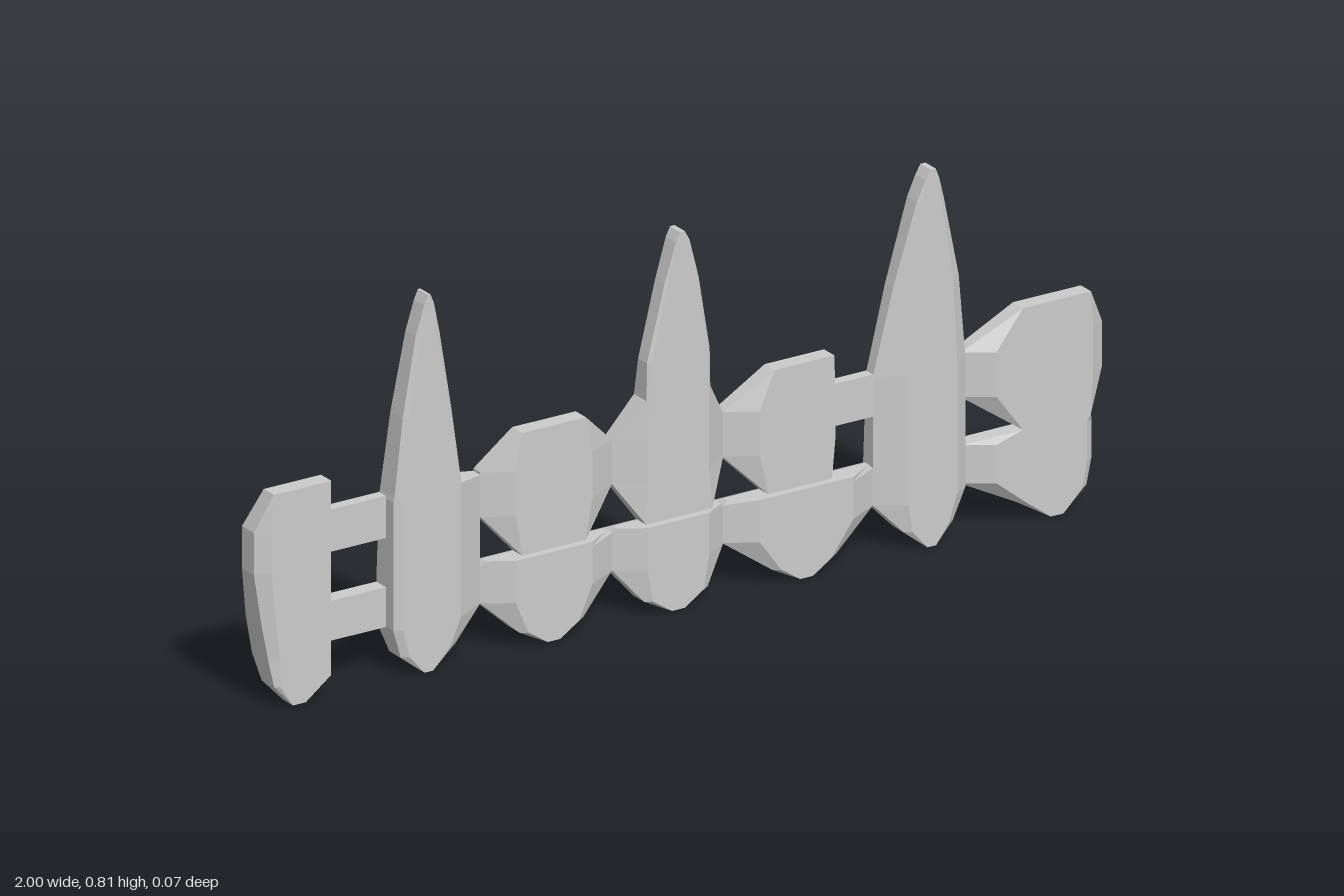
import * as THREE from 'three';

const FRONT = 0.037, LOW = -0.035, HIGH = -0.025;
const material = new THREE.MeshStandardMaterial({ color: 0xcccccc, flatShading: true });

// Lofts a plank from rows [y, left, leftCrease, rightCrease, right, backZ].
// The front is flat between the creases and bevels back towards the sides.
function plank(name, rows) {
  const edgeZ = (w) => FRONT * (1 - Math.min(1, w / 0.06));
  const rings = rows.map(([y, l, cl, cr, r, back]) => [
    [l, y, edgeZ(cl - l)], [cl, y, FRONT], [cr, y, FRONT],
    [r, y, edgeZ(r - cr)], [r, y, back], [l, y, back],
  ]);
  const pos = [];
  const tri = (a, b, c) => pos.push(...a, ...b, ...c);
  for (let k = 0; k < rings.length - 1; k++) {
    const a = rings[k], b = rings[k + 1];
    for (let i = 0; i < 6; i++) {
      const j = (i + 1) % 6;
      tri(a[i], a[j], b[j]);
      tri(a[i], b[j], b[i]);
    }
  }
  const bottom = rings[0], top = rings[rings.length - 1];
  for (let i = 1; i < 5; i++) {
    tri(bottom[0], bottom[i + 1], bottom[i]);
    tri(top[0], top[i], top[i + 1]);
  }
  const geo = new THREE.BufferGeometry();
  geo.setAttribute('position', new THREE.Float32BufferAttribute(pos, 3));
  geo.computeVertexNormals();
  const mesh = new THREE.Mesh(geo, material);
  mesh.name = name;
  return mesh;
}

// Pointed lower end of a broken picket, with its strip of rail
const stub = (name, l, cl, tip, cr, r) => plank(name, [
  [0, tip - 0.015, tip - 0.015, tip + 0.015, tip + 0.015, 0],
  [0.03, tip - 0.075, tip - 0.06, tip + 0.06, tip + 0.075, -0.01],
  [0.1, l, cl, cr, r, LOW],
  [0.18, l, cl, cr, r, LOW],
  [0.19, l + 0.01, cl, cr, r - 0.01, -0.01],
]);

// Straight rail section showing between two pickets
function rail(name, x0, x1, y0, y1, back) {
  const mesh = new THREE.Mesh(new THREE.BoxGeometry(x1 - x0, y1 - y0, -back), material);
  mesh.position.set((x0 + x1) / 2, (y0 + y1) / 2, back / 2);
  mesh.name = name;
  return mesh;
}

export function createModel() {
  const group = new THREE.Group();
  group.name = 'brokenFence';

  group.add(
    // Short end picket
    plank('rightEndPicket', [
      [0, -0.92, -0.92, -0.89, -0.89, 0],
      [0.045, -0.96, -0.95, -0.83, -0.83, -0.015],
      [0.1, -0.97, -0.95, -0.83, -0.83, LOW],
      [0.185, -0.985, -0.96, -0.83, -0.83, LOW],
      [0.29, -1, -0.97, -0.83, -0.83, HIGH],
      [0.38, -1, -0.97, -0.83, -0.83, HIGH],
      [0.46, -0.965, -0.965, -0.83, -0.83, 0],
    ]),
    // Tall picket with a block on its inner side
    plank('rightTallPicket', [
      [0, -0.61, -0.61, -0.59, -0.59, 0],
      [0.04, -0.66, -0.645, -0.55, -0.53, -0.014],
      [0.1, -0.677, -0.66, -0.525, -0.455, LOW],
      [0.185, -0.677, -0.66, -0.525, -0.455, LOW],
      [0.375, -0.677, -0.66, -0.525, -0.455, HIGH],
      [0.385, -0.675, -0.66, -0.525, -0.522, HIGH],
      [0.55, -0.657, -0.645, -0.55, -0.545, -0.015],
      [0.72, -0.628, -0.62, -0.58, -0.572, -0.005],
      [0.785, -0.611, -0.611, -0.588, -0.588, 0],
      [0.805, -0.602, -0.602, -0.596, -0.596, 0],
    ]),
    // Upper half of the right middle picket
    plank('rightMiddlePicket', [
      [0.198, -0.38, -0.38, -0.23, -0.23, 0],
      [0.285, -0.455, -0.395, -0.215, -0.145, HIGH],
      [0.38, -0.455, -0.395, -0.215, -0.145, HIGH],
      [0.46, -0.38, -0.38, -0.23, -0.23, 0],
    ]),
    // Upper half of the centre picket
    plank('centrePicket', [
      [0.198, -0.088, -0.088, 0.068, 0.068, 0],
      [0.285, -0.145, -0.085, 0.06, 0.115, HIGH],
      [0.38, -0.145, -0.085, 0.06, 0.115, HIGH],
      [0.46, -0.085, -0.08, 0.06, 0.065, -0.012],
      [0.54, -0.083, -0.075, 0.058, 0.064, 0],
      [0.7, -0.043, -0.038, 0.033, 0.037, 0],
      [0.785, -0.018, -0.018, 0.014, 0.014, 0],
      [0.805, -0.008, -0.008, 0.003, 0.003, 0],
    ]),
    // Upper half of the left middle picket, cut straight on one side
    plank('leftMiddlePicket', [
      [0.198, 0.2, 0.2, 0.35, 0.35, 0],
      [0.285, 0.115, 0.18, 0.358, 0.358, HIGH],
      [0.38, 0.115, 0.18, 0.358, 0.358, HIGH],
      [0.46, 0.215, 0.215, 0.355, 0.355, 0],
    ]),
    // Second tall picket
    plank('leftTallPicket', [
      [0, 0.575, 0.575, 0.595, 0.595, 0],
      [0.04, 0.525, 0.54, 0.625, 0.64, -0.014],
      [0.1, 0.47, 0.53, 0.645, 0.677, LOW],
      [0.185, 0.47, 0.53, 0.645, 0.677, LOW],
      [0.375, 0.47, 0.53, 0.645, 0.677, HIGH],
      [0.56, 0.508, 0.545, 0.635, 0.657, -0.015],
      [0.74, 0.553, 0.562, 0.607, 0.616, -0.004],
      [0.785, 0.57, 0.57, 0.602, 0.602, 0],
      [0.805, 0.582, 0.582, 0.594, 0.594, 0],
    ]),
    // End picket, notched at the waist
    plank('leftEndPicket', [
      [0, 0.865, 0.865, 0.895, 0.895, 0],
      [0.045, 0.79, 0.805, 0.94, 0.955, -0.015],
      [0.1, 0.677, 0.737, 0.95, 0.968, LOW],
      [0.182, 0.677, 0.737, 0.95, 0.968, LOW],
      [0.2, 0.8, 0.8, 0.96, 0.96, 0],
      [0.285, 0.677, 0.737, 0.965, 1, HIGH],
      [0.38, 0.677, 0.737, 0.965, 1, HIGH],
      [0.46, 0.8, 0.8, 0.96, 0.96, 0],
    ]),
    // Lower ends of the three middle pickets
    stub('rightMiddleStub', -0.455, -0.395, -0.305, -0.215, -0.145),
    stub('centreStub', -0.145, -0.085, -0.012, 0.06, 0.115),
    stub('leftMiddleStub', 0.115, 0.18, 0.29, 0.4, 0.47),
    // Bare rails
    rail('upperRightRail', -0.83, -0.677, 0.29, 0.38, HIGH),
    rail('lowerRightRail', -0.83, -0.677, 0.1, 0.185, LOW),
    rail('upperLeftRail', 0.358, 0.47, 0.29, 0.38, HIGH),
  );
  return group;
}
